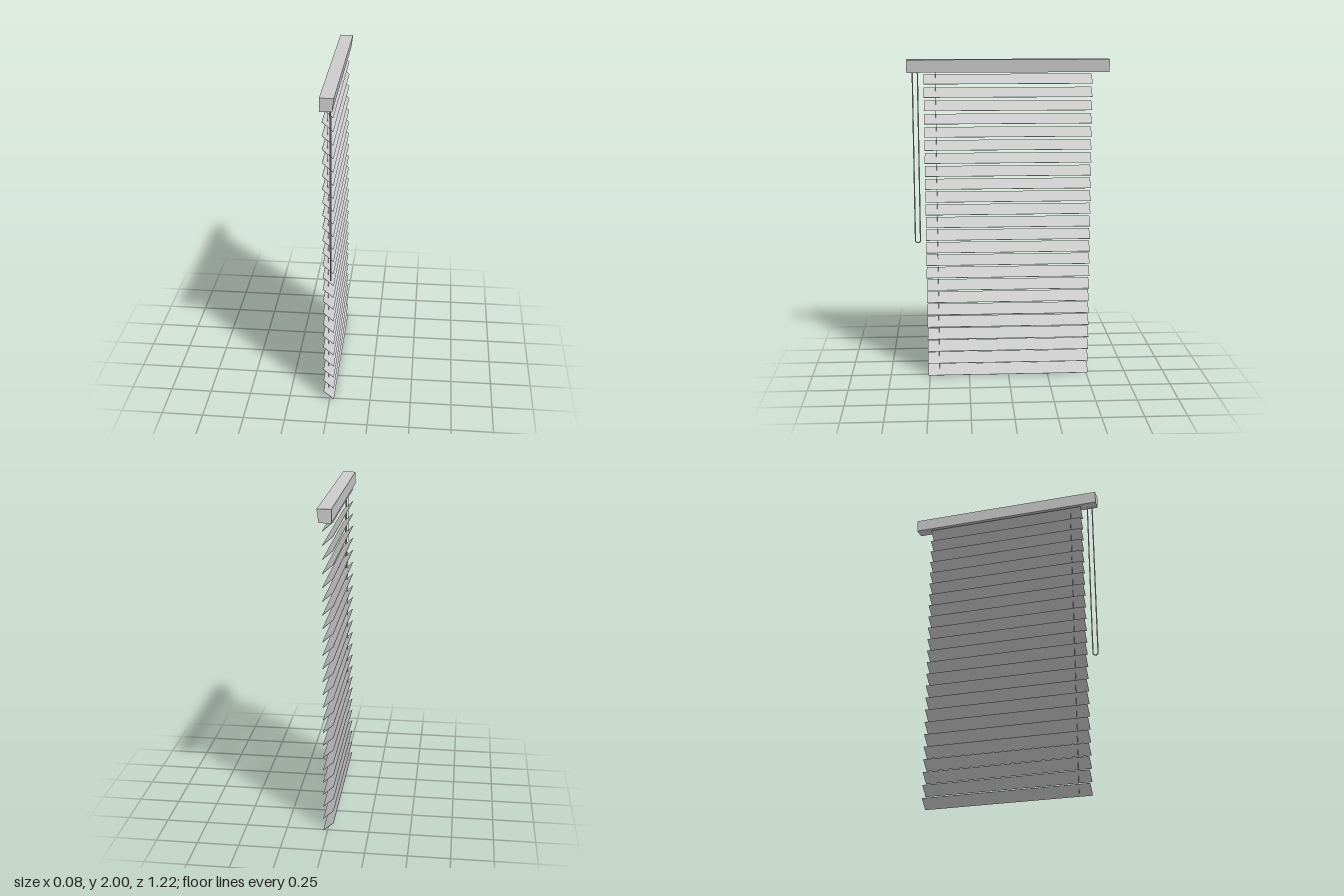
import * as THREE from 'three';

export function createModel() {
  const model = new THREE.Group();
  const material = new THREE.MeshStandardMaterial({ color: 0xcccccc });
  const add = (name, geometry, parent = model) => {
    const mesh = new THREE.Mesh(geometry, material);
    mesh.name = name;
    parent.add(mesh);
    return mesh;
  };

  // Head rail: slightly tapered section running along z
  const section = new THREE.Shape([
    new THREE.Vector2(-0.04, 1.923),
    new THREE.Vector2(0.03, 1.923),
    new THREE.Vector2(0.04, 2),
    new THREE.Vector2(-0.04, 2),
  ]);
  const rail = new THREE.ExtrudeGeometry(section, { depth: 1.224, bevelEnabled: false });
  add('headRail', rail.translate(0, 0, -0.612));

  // Tilted slats
  const slats = new THREE.Group();
  slats.name = 'slats';
  model.add(slats);
  const slatCount = 24, bottomY = 0.03, spacing = 0.0805;
  const slatGeometry = new THREE.BoxGeometry(0.084, 0.002, 1.024);
  for (let i = 0; i < slatCount; i++) {
    const slat = add('slat', slatGeometry, slats);
    slat.position.set(-0.006, bottomY + i * spacing, 0);
    slat.rotation.z = -0.72;
  }

  // Thin lift string threaded through the slats
  const string = add('liftString', new THREE.CylinderGeometry(0.0015, 0.0015, 1.915, 8));
  string.position.set(-0.012, 0.9675, 0.44);

  // Pull cord: a long narrow loop with a rounded bottom
  const cx = 0.015, cz = 0.562, half = 0.0155, bendY = 0.889;
  const path = new THREE.CurvePath();
  const bend = [];
  for (let i = 0; i <= 12; i++) {
    const a = (i / 12) * Math.PI;
    bend.push(new THREE.Vector3(cx, bendY - half * Math.sin(a), cz + half * Math.cos(a)));
  }
  path.add(new THREE.LineCurve3(new THREE.Vector3(cx, 1.93, cz + half), bend[0]));
  path.add(new THREE.CatmullRomCurve3(bend));
  path.add(new THREE.LineCurve3(bend[12], new THREE.Vector3(cx, 1.93, cz - half)));
  add('pullCord', new THREE.TubeGeometry(path, 400, 0.0038, 8));

  return model;
}
